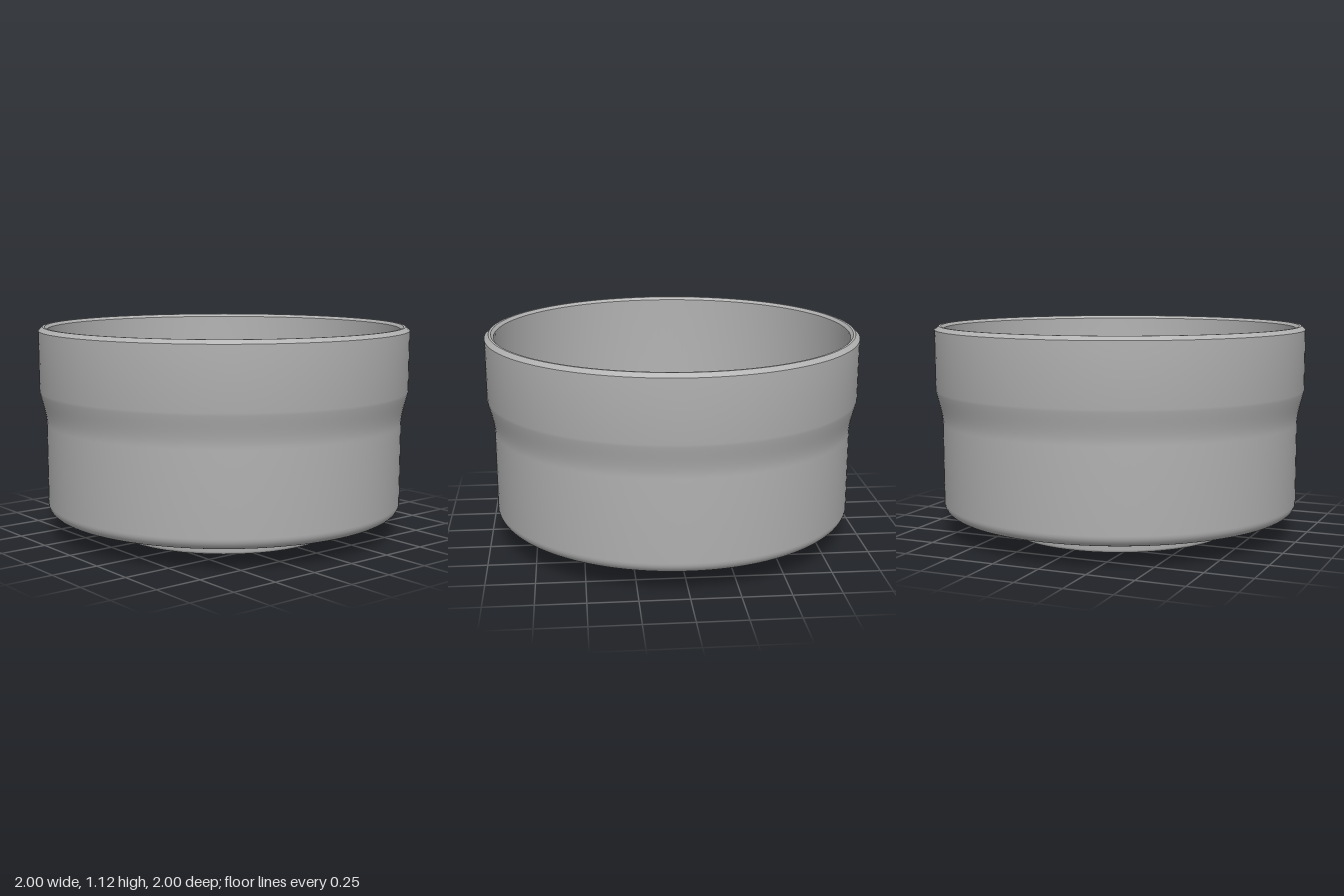
import * as THREE from 'three';
import { toCreasedNormals } from 'three/addons/utils/BufferGeometryUtils.js';

const SEG = 128;
const FLOOR = 0.125;      // top of the inner floor
const PLATE_R = 0.605;    // flat part of the hub that carries the holes
const BORE_R = 0.275;

const p = (x, y) => new THREE.Vector2(x, y);

// Points of a rounded corner around (cx, cy)
function arc(cx, cy, r, a0, a1, n = 8) {
  return Array.from({ length: n + 1 }, (_, i) => {
    const a = a0 + (a1 - a0) * i / n;
    return p(cx + r * Math.cos(a), cy + r * Math.sin(a));
  });
}

export function createModel() {
  const group = new THREE.Group();
  const metal = new THREE.MeshStandardMaterial({ color: 0xb2b2b2 });
  metal.name = 'grey metal';

  function add(name, geometry) {
    const mesh = new THREE.Mesh(toCreasedNormals(geometry, 0.5), metal);
    mesh.name = name;
    group.add(mesh);
  }

  // Flared step on the outside of the wall
  const flare = Array.from({ length: 13 }, (_, i) => {
    const t = i / 12;
    return p(0.965 + 0.035 * t * t * (2 - t), 0.6 + 0.18 * t);
  });

  // Cup: hub rim, underside, wall, chamfered lip, inner wall and floor
  const cup = [
    ...arc(PLATE_R, 0.015, 0.015, -Math.PI / 2, 0, 4),
    p(0.62, 0.11),
    ...arc(0.905, 0.17, 0.06, -Math.PI / 2, 0),
    ...flare,
    p(1, 1.1), p(0.977, 1.12), p(0.965, 1.12), p(0.95, 1.105),
    ...arc(0.9, FLOOR + 0.05, 0.05, 0, -Math.PI / 2),
    p(PLATE_R, FLOOR),
  ];
  add('cup', new THREE.LatheGeometry(cup, SEG));

  // Hub plate with the bore and a ring of eight bolt holes
  const plate = new THREE.Shape().absarc(0, 0, PLATE_R, 0, Math.PI * 2);
  const hole = (x, y, r) => plate.holes.push(new THREE.Path().absarc(x, y, r, 0, Math.PI * 2, true));
  hole(0, 0, BORE_R + 0.01);
  for (let i = 0; i < 8; i++) {
    const a = i * Math.PI / 4;
    hole(0.465 * Math.cos(a), 0.465 * Math.sin(a), 0.112);
  }
  const plateGeometry = new THREE.ExtrudeGeometry(plate, { depth: FLOOR, bevelEnabled: false, curveSegments: SEG / 2 });
  plateGeometry.rotateX(-Math.PI / 2);
  add('hubPlate', plateGeometry);

  // Chamfered lining of the centre bore
  add('centreBore', new THREE.LatheGeometry([
    p(BORE_R + 0.01, FLOOR), p(BORE_R, FLOOR - 0.01), p(BORE_R, 0.01), p(BORE_R + 0.01, 0),
  ], SEG));

  return group;
}
